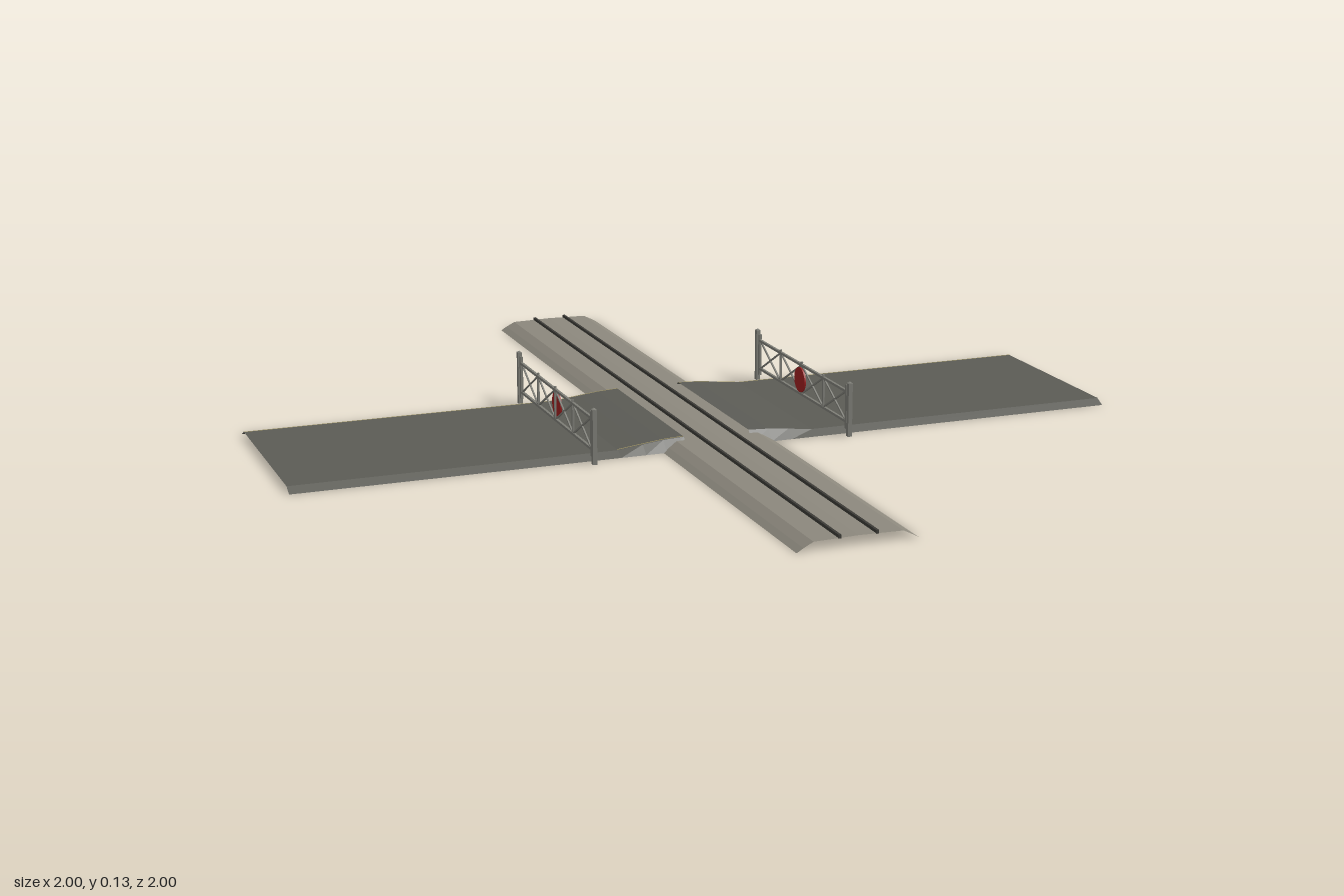
import * as THREE from 'three';

const mat = (name, color, side = THREE.FrontSide) => {
  const m = new THREE.MeshStandardMaterial({ color, side });
  m.name = name;
  return m;
};

// Sheet through rows of points; rows advance along x, points within a row along z
function sheet(rows) {
  const pos = [];
  for (let i = 0; i < rows.length - 1; i++) {
    for (let j = 0; j < rows[i].length - 1; j++) {
      const a = rows[i][j], b = rows[i][j + 1], c = rows[i + 1][j], d = rows[i + 1][j + 1];
      pos.push(...a, ...b, ...c, ...b, ...d, ...c);
    }
  }
  const g = new THREE.BufferGeometry();
  g.setAttribute('position', new THREE.Float32BufferAttribute(pos, 3));
  g.computeVertexNormals();
  return g;
}

function add(parent, name, geometry, material, x = 0, y = 0, z = 0) {
  const mesh = new THREE.Mesh(geometry, material);
  mesh.name = name;
  mesh.position.set(x, y, z);
  parent.add(mesh);
  return mesh;
}

export function createModel() {
  const asphalt = mat('asphalt', 0x5b5b55, THREE.DoubleSide);
  const ballast = mat('ballast', 0x8c887d, THREE.DoubleSide);
  const steel = mat('rail steel', 0x3b3a36);
  const paint = mat('road line', 0x9a8f62, THREE.DoubleSide);
  const gatePaint = mat('gate paint', 0x7d7d76);
  const red = mat('warning red', 0x9c1f1f);

  const model = new THREE.Group();
  model.name = 'levelCrossing';

  // Track bed: low embankment with sloping shoulders, open underneath
  const bed = [[-0.137, 0], [-0.122, 0.009], [-0.1, 0.02], [0, 0.022], [0.1, 0.02], [0.122, 0.009], [0.137, 0]];
  add(model, 'trackBed', sheet(bed.map(([x, y]) => [[x, y, -1], [x, y, 1]])), ballast);

  // Rails
  for (const s of [-1, 1]) {
    add(model, 'rail', new THREE.BoxGeometry(0.006, 0.008, 2), steel, s * 0.042, 0.024, 0);
  }

  // Road halves with bevelled verges, ramping up to the track
  const ramp = [[0.08, 0.027], [0.13, 0.0245], [0.18, 0.019], [0.24, 0.012], [1, 0.012]];
  for (const s of [-1, 1]) {
    const stations = ramp.map(([x, y]) => [s * x, y]);
    if (s < 0) stations.reverse();
    add(model, 'road', sheet(stations.map(([x, y]) =>
      [[x, 0, -0.25], [x, y, -0.227], [x, y, 0.227], [x, 0, 0.25]])), asphalt);

    // Thin edge lines following the ramp
    const line = (pts, z) => add(model, 'edgeLine', sheet(pts.map(([x, y]) =>
      [[x, y + 0.0006, z - 0.002], [x, y + 0.0006, z + 0.002]])), paint);
    line(stations, -0.223);
    if (s < 0) line(stations.slice(1), 0.223);
  }

  // Flat bar in the gate plane between two (z, y) points
  function bar(parent, name, z1, y1, z2, y2, w) {
    const len = Math.hypot(z2 - z1, y2 - y1);
    const m = add(parent, name, new THREE.BoxGeometry(w, w, len), gatePaint, 0, (y1 + y2) / 2, (z1 + z2) / 2);
    m.rotation.x = -Math.atan2(y2 - y1, z2 - z1);
  }

  // Gates, one on each side of the track
  for (const s of [-1, 1]) {
    const gate = new THREE.Group();
    gate.name = 'gate';
    gate.position.x = s * 0.313;
    model.add(gate);

    // Posts: tall outer post and shorter hanging stile
    for (const e of [-1, 1]) {
      add(gate, 'post', new THREE.BoxGeometry(0.01, 0.128, 0.011), gatePaint, 0, 0.064, e * 0.275);
      const cap = add(gate, 'postCap', new THREE.ConeGeometry(0.008, 0.005, 4), gatePaint, 0, 0.1295, e * 0.275);
      cap.rotation.y = Math.PI / 4;
      add(gate, 'stile', new THREE.BoxGeometry(0.006, 0.105, 0.008), gatePaint, 0, 0.0675, e * 0.26);
    }

    // Frame rails, uprights and crossed braces
    const lo = 0.032, hi = 0.104, panel = 0.128;
    bar(gate, 'topRail', -0.26, hi, 0.26, hi, 0.006);
    bar(gate, 'bottomRail', -0.26, lo, 0.26, lo, 0.006);
    for (let i = -1; i <= 1; i++) bar(gate, 'upright', i * panel, lo, i * panel, hi + 0.008, 0.005);
    for (let i = -2; i < 2; i++) {
      const z1 = i * panel, z2 = z1 + panel;
      bar(gate, 'brace', z1, lo, z2, hi, 0.0035);
      bar(gate, 'brace', z1, hi, z2, lo, 0.0035);
    }

    // Warning disc on the side facing the track
    const disc = add(gate, 'warningDisc', new THREE.CylinderGeometry(0.031, 0.031, 0.004, 16), red, -s * 0.004, 0.068, 0);
    disc.rotation.z = Math.PI / 2;
  }
  return model;
}
